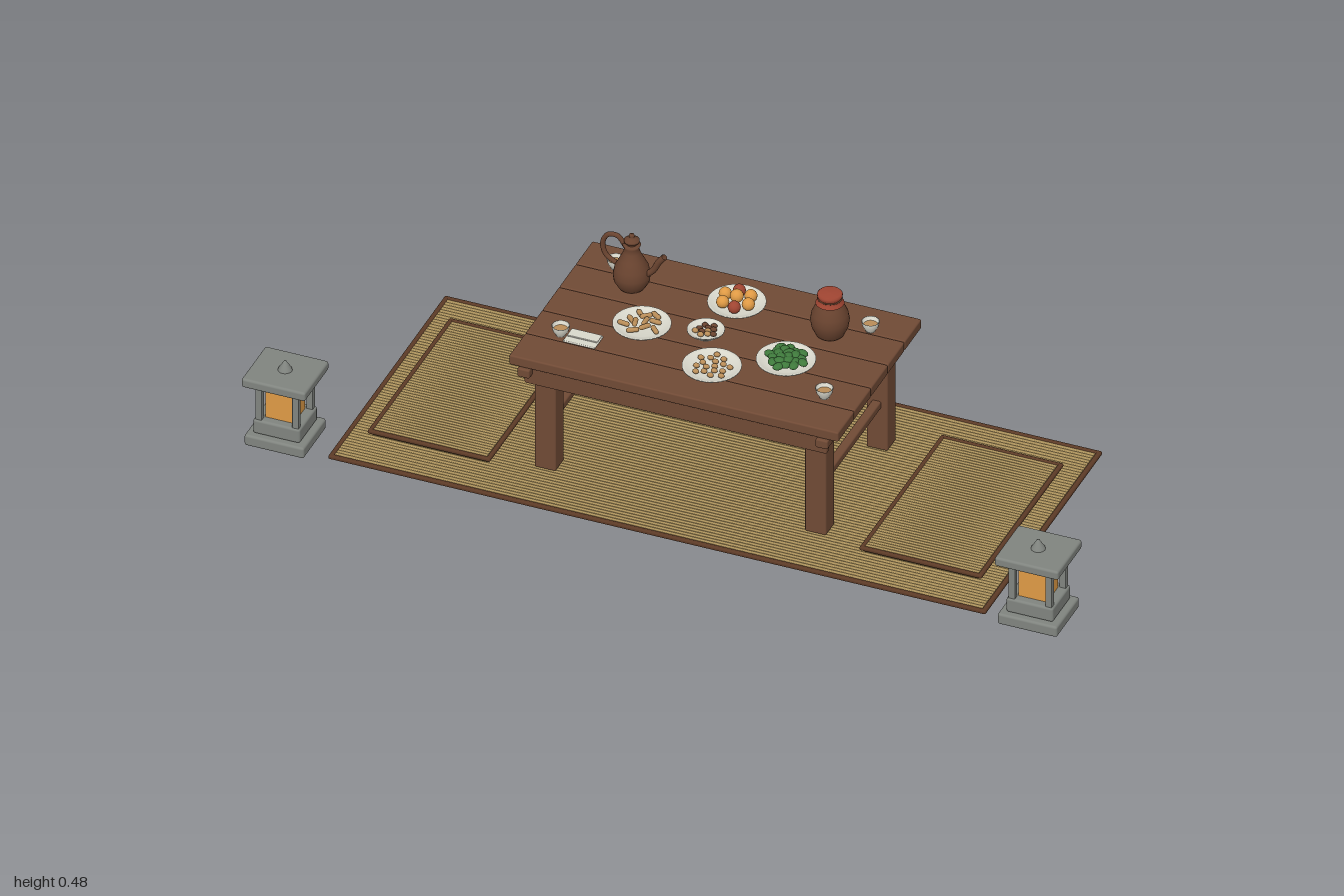
import * as THREE from 'three';
import { RoundedBoxGeometry } from 'three/addons/geometries/RoundedBoxGeometry.js';
import { mergeGeometries } from 'three/addons/utils/BufferGeometryUtils.js';

const mat = (name, color, side = THREE.FrontSide) => {
  const m = new THREE.MeshStandardMaterial({ color, side });
  m.name = name;
  return m;
};

export function createModel() {
  const wood = mat('wood', 0x704a35);
  const trim = mat('dark trim', 0x5c3a26);
  const straw = mat('straw', 0xac925c);
  const stone = mat('stone', 0x80847f);
  const glow = mat('amber', 0xdf9a45);
  const ceramic = mat('ceramic', 0xd9d8cc, THREE.DoubleSide);
  const clay = mat('clay', 0x69432f, THREE.DoubleSide);
  const red = mat('red', 0xa04532, THREE.DoubleSide);
  const green = mat('green', 0x3f7a3c);
  const tan = mat('tan', 0xb98d58);

  const root = new THREE.Group();
  root.name = 'tableSetting';
  const group = (name, x = 0, y = 0, z = 0, parent = root) => {
    const g = new THREE.Group();
    g.name = name;
    g.position.set(x, y, z);
    parent.add(g);
    return g;
  };
  const add = (parent, name, geo, m, x = 0, y = 0, z = 0) => {
    const mesh = new THREE.Mesh(geo, m);
    mesh.name = name;
    mesh.position.set(x, y, z);
    parent.add(mesh);
    return mesh;
  };
  const box = (p, name, m, w, h, d, x, y, z, r = 0.004) =>
    add(p, name, new RoundedBoxGeometry(w, h, d, 2, Math.min(r, h * 0.45)), m, x, y, z);
  const lathe = (p, name, m, pts, y = 0, seg = 28) =>
    add(p, name, new THREE.LatheGeometry(pts.map(([a, b]) => new THREE.Vector2(a, b)), seg), m, 0, y, 0);
  let seed = 7;
  const rnd = () => (seed = (seed * 16807) % 2147483647) / 2147483647;

  // Woven sheet: a slab with a row of thin reeds along x and a raised border
  const woven = (name, x, z, w, d, y, h, rim, count) => {
    const g = group(name, x, y, z);
    add(g, 'base', new THREE.BoxGeometry(w - rim, h * 0.7, d - rim), straw, 0, h * 0.35, 0);
    const step = (d - 2 * rim) / count, reeds = [];
    for (let i = 0; i < count; i++) {
      const reed = new THREE.CylinderGeometry(step / 2, step / 2, w - 2 * rim, 8, 1);
      reed.rotateZ(Math.PI / 2).scale(1, 0.35, 1);
      reed.translate(0, h * 0.75, -d / 2 + rim + step * (i + 0.5));
      reeds.push(reed);
    }
    add(g, 'reeds', mergeGeometries(reeds), straw);
    for (const s of [-1, 1]) {
      box(g, 'longBorder', trim, w, h, rim, 0, h / 2, s * (d - rim) / 2);
      box(g, 'endBorder', trim, rim, h, d, s * (w - rim) / 2, h / 2, 0);
    }
  };
  woven('floorMat', 0, -0.02, 1.61, 0.69, 0, 0.01, 0.012, 64);
  for (const s of [-1, 1]) {
    const x = s * 0.602;
    box(root, 'cushionBase', straw, 0.285, 0.01, 0.47, x, 0.015, -0.022);
    woven('cushionTop', x, -0.022, 0.3, 0.485, 0.017, 0.01, 0.011, 48);
  }

  // Table
  const table = group('table', 0, 0, -0.02);
  for (let i = -2; i <= 2; i++)
    box(table, 'plank', wood, 0.806, 0.026, 0.097, 0, 0.317, i * 0.0985);
  for (const s of [-1, 1]) {
    box(table, 'crossBeam', wood, 0.03, 0.023, 0.507, s * 0.365, 0.2935, 0);
    box(table, 'apron', wood, 0.74, 0.047, 0.02, 0, 0.279, s * 0.225);
    box(table, 'sideStretcher', wood, 0.022, 0.02, 0.32, s * 0.33, 0.133, 0);
    for (const t of [-1, 1])
      box(table, 'leg', wood, 0.052, 0.295, 0.051, s * 0.331, 0.1575, t * 0.181);
  }

  // Stone lanterns
  for (const s of [-1, 1]) {
    const g = group('lantern', s * 0.922, 0, 0.295);
    box(g, 'base', stone, 0.146, 0.029, 0.134, 0, 0.0255, 0, 0.006);
    box(g, 'plinth', stone, 0.115, 0.038, 0.106, 0, 0.059, 0, 0.006);
    for (const a of [-1, 1]) for (const b of [-1, 1])
      box(g, 'post', stone, 0.016, 0.1, 0.015, a * 0.045, 0.125, b * 0.0415, 0.002);
    add(g, 'lightBox', new THREE.BoxGeometry(0.07, 0.084, 0.065), glow, 0, 0.12, 0);
    box(g, 'lintel', stone, 0.104, 0.012, 0.098, 0, 0.17, 0, 0.003);
    box(g, 'cap', stone, 0.156, 0.024, 0.143, 0, 0.184, 0, 0.006);
    lathe(g, 'finial', stone, [[0.017, 0], [0.016, 0.004], [0.009, 0.015], [0.003, 0.025], [0, 0.027]], 0.195, 16);
  }

  const TOP = 0.33;
  // Plates and bowl
  const plate = (name, x, z, r) => {
    const g = group(name, x, TOP, z);
    lathe(g, 'dish', ceramic, [[0, 0.001], [r * 0.6, 0.001], [r * 0.68, 0.005], [r, 0.015],
      [r, 0.018], [r * 0.9, 0.016], [r * 0.65, 0.009], [0, 0.008]], 0, 36);
    return g;
  };
  // Scatter food in a sunflower pattern
  const scatter = (g, n, r, make) => {
    for (let i = 0; i < n; i++) {
      const d = r * Math.sqrt((i + 0.4) / n), a = i * 2.4;
      make(d * Math.cos(a), d * Math.sin(a), i, g);
    }
  };
  const blob = (g, name, m, r, x, y, z, sy = 1, sx = 1) => {
    const b = add(g, name, new THREE.SphereGeometry(r, 14, 10), m, x, y, z);
    b.scale.set(sx, sy, 1);
    return b;
  };

  const fruit = plate('fruitPlate', 0, -0.147, 0.067);
  for (let i = 0; i < 6; i++) {
    const a = i * Math.PI / 3 + 0.3;
    blob(fruit, 'fruit', i % 3 === 1 ? red : glow, 0.015, Math.cos(a) * 0.034, 0.024, Math.sin(a) * 0.034);
  }
  blob(fruit, 'fruit', glow, 0.016, 0, 0.032, 0);

  scatter(plate('pastryPlate', -0.165, 0.015, 0.067), 11, 0.045, (x, z, i, g) => {
    const p = add(g, 'pastry', new THREE.CapsuleGeometry(0.006, 0.018, 4, 10), tan, x, 0.017 + (i < 4 ? 0.007 : 0), z);
    p.rotation.set(Math.PI / 2, 0, rnd() * Math.PI);
  });
  scatter(plate('dumplingPlate', 0.045, 0.108, 0.068), 17, 0.047, (x, z, i, g) =>
    blob(g, 'dumpling', tan, 0.0065, x, 0.016, z, 0.9, 1.2));
  scatter(plate('greensPlate', 0.19, 0.02, 0.068), 22, 0.044, (x, z, i, g) => {
    blob(g, 'leaf', green, 0.011, x, 0.021 + (i < 8 ? 0.004 : 0), z, 0.65, 1.3).rotation.y = rnd() * 3;
  });
  scatter(plate('nutDish', -0.022, -0.018, 0.043), 11, 0.026, (x, z, i, g) =>
    blob(g, 'nut', i % 3 ? clay : tan, 0.0065, x, 0.014, z, 0.9, 1.2));

  // Cups
  for (const [x, z] of [[-0.312, -0.185], [0.315, -0.177], [0.32, 0.107], [-0.325, 0.108]]) {
    const g = group('cup', x, TOP, z);
    lathe(g, 'cupBody', ceramic, [[0, 0.001], [0.011, 0.001], [0.012, 0.005], [0.018, 0.014],
      [0.021, 0.027], [0.019, 0.027], [0.016, 0.014], [0, 0.009]], 0, 24);
    add(g, 'tea', new THREE.CylinderGeometry(0.0165, 0.0165, 0.002, 24), tan, 0, 0.017, 0);
  }
  // Folded napkin
  box(root, 'napkin', ceramic, 0.078, 0.005, 0.052, -0.271, TOP + 0.003, 0.106, 0.002);
  box(root, 'napkinFold', ceramic, 0.074, 0.004, 0.03, -0.271, TOP + 0.007, 0.098, 0.002);

  // Teapot
  const pot = group('teapot', -0.25, TOP, -0.13);
  lathe(pot, 'potBody', clay, [[0, 0.001], [0.028, 0.001], [0.032, 0.006], [0.041, 0.022], [0.043, 0.038],
    [0.039, 0.058], [0.028, 0.08], [0.019, 0.098], [0.017, 0.11], [0.021, 0.118], [0, 0.12]]);
  lathe(pot, 'potLid', clay, [[0.012, 0.118], [0.012, 0.124], [0.018, 0.126], [0.018, 0.131], [0.009, 0.136],
    [0.005, 0.137], [0.007, 0.141], [0.005, 0.146], [0, 0.147]], 0, 20);
  const v = (x, y) => new THREE.Vector3(x, y, 0);
  const spoutPath = new THREE.CatmullRomCurve3([v(0.03, 0.04), v(0.052, 0.06), v(0.066, 0.086), v(0.08, 0.104)]);
  add(pot, 'spout', new THREE.TubeGeometry(spoutPath, 16, 0.0075, 12), clay);
  const handlePath = new THREE.CatmullRomCurve3([v(-0.015, 0.108), v(-0.034, 0.132), v(-0.058, 0.13),
    v(-0.071, 0.105), v(-0.063, 0.074), v(-0.035, 0.056)]);
  add(pot, 'handle', new THREE.TubeGeometry(handlePath, 28, 0.006, 10), clay);

  // Jar with tied cloth cover
  const jar = group('jar', 0.236, TOP, -0.128);
  lathe(jar, 'jarBody', clay, [[0, 0.001], [0.028, 0.001], [0.033, 0.006], [0.042, 0.026], [0.045, 0.044],
    [0.042, 0.062], [0.033, 0.082], [0.025, 0.094], [0.024, 0.11], [0, 0.11]]);
  lathe(jar, 'clothCover', red, [[0.033, 0.089], [0.029, 0.096], [0.0265, 0.103], [0.029, 0.108],
    [0.029, 0.113], [0.026, 0.116], [0, 0.117]]);
  const tie = add(jar, 'tie', new THREE.TorusGeometry(0.027, 0.002, 8, 28), clay, 0, 0.102, 0);
  tie.rotation.x = Math.PI / 2;

  return root;
}
